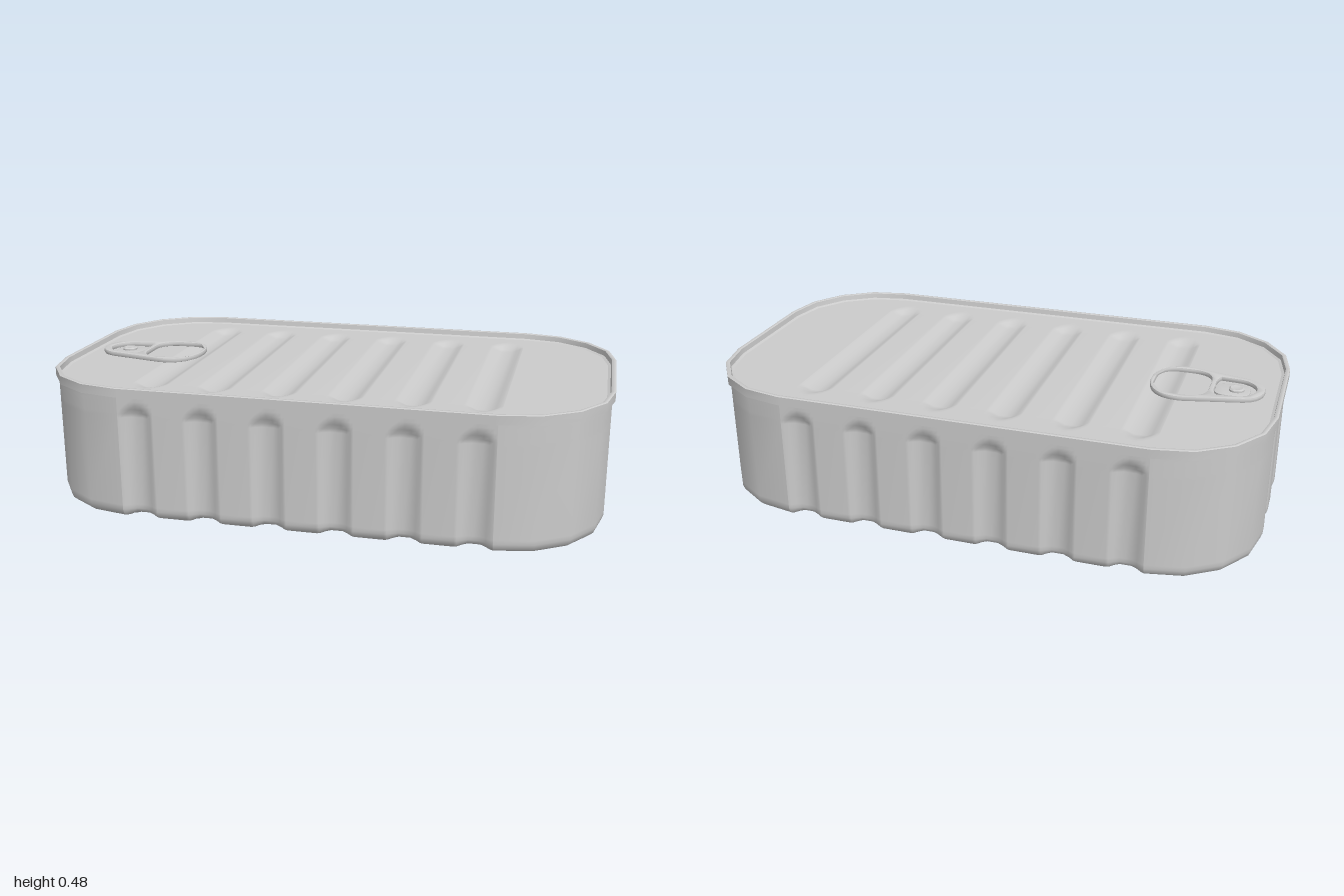
import * as THREE from 'three';
import { toCreasedNormals } from 'three/addons/utils/BufferGeometryUtils.js';

const CX = 0.645, CZ = 0.215, R = 0.355;            // corner centres and radius
const RIBS_X = [-0.58, -0.348, -0.116, 0.116, 0.348, 0.58];
const RIBS_Z = [-0.11, 0.11];
const OFFSETS = [-0.064, -0.054, -0.04, -0.02, 0, 0.02, 0.04, 0.054, 0.064];
const DEPTH = 0.02;

const material = () => new THREE.MeshStandardMaterial({ color: 0xcccccc, side: THREE.DoubleSide });
const smooth = (a, b, t) => THREE.MathUtils.smoothstep(t, a, b);
// 0 outside a rib, 1 on its floor; fade < 1 makes the rib narrower and shallower
const ribWeight = (t, ribs, fade = 1) => Math.max(...ribs.map((c) =>
  fade * (1 - smooth(0.02 * fade, 0.012 + 0.052 * fade, Math.abs(t - c)))));

// Sample stations along a straight side, dense at the ribs
const stations = (half, ribs) =>
  [-half, ...ribs.flatMap((c) => OFFSETS.map((o) => c + o)), half];

// Rounded-rectangle outline: base point, outward normal and position along its side
function outline() {
  const list = [];
  const corner = (sx, sz, start) => {
    for (let i = 1; i < 4; i++) {
      const a = start + (i * Math.PI) / 8;
      list.push({ x: sx * CX, z: sz * CZ, nx: Math.cos(a), nz: Math.sin(a) });
    }
  };
  const xs = stations(CX, RIBS_X), zs = stations(CZ, RIBS_Z);
  zs.forEach((z) => list.push({ x: CX, z, nx: 1, nz: 0, t: z, ribs: RIBS_Z }));
  corner(1, 1, 0);
  [...xs].reverse().forEach((x) => list.push({ x, z: CZ, nx: 0, nz: 1, t: x, ribs: RIBS_X }));
  corner(-1, 1, Math.PI / 2);
  [...zs].reverse().forEach((z) => list.push({ x: -CX, z, nx: -1, nz: 0, t: z, ribs: RIBS_Z }));
  corner(-1, -1, Math.PI);
  xs.forEach((x) => list.push({ x, z: -CZ, nx: 0, nz: -1, t: x, ribs: RIBS_X }));
  corner(1, -1, Math.PI * 1.5);
  return list;
}

// Loft rings [inset, y, rib strength, lift at ribs] around the outline
function loft(rings, capped) {
  const base = outline(), n = base.length, pos = [], index = [];
  rings.forEach(([inset, y, rib = 0, lift = 0]) => base.forEach((p) => {
    const w = p.ribs && rib > 0 ? ribWeight(p.t, p.ribs, rib) : 0;
    const r = R - inset - DEPTH * w;
    pos.push(p.x + p.nx * r, y + lift * w, p.z + p.nz * r);
  }));
  for (let k = 0; k < rings.length - 1; k++) {
    for (let i = 0; i < n; i++) {
      const a = k * n + i, b = k * n + ((i + 1) % n);
      index.push(a, a + n, b, b, a + n, b + n);
    }
  }
  if (capped) {
    const c = pos.length / 3;
    pos.push(0, rings[0][1], 0);
    for (let i = 0; i < n; i++) index.push(c, i, (i + 1) % n);
  }
  const g = new THREE.BufferGeometry();
  g.setAttribute('position', new THREE.Float32BufferAttribute(pos, 3));
  g.setIndex(index);
  g.computeVertexNormals();
  return g;
}

// Sunken lid plate with six pressed grooves
function lidPanel(inset, y) {
  const r = R - inset;
  const arc = [0, 1, 2, 3].map((i) => CX + r * Math.cos((i * Math.PI) / 8));
  const xs = [...arc.map((x) => -x), ...stations(CX, RIBS_X), ...[...arc].reverse()];
  const halfDepth = (x) => {
    const ax = Math.abs(x);
    return ax <= CX ? CZ + r : CZ + Math.sqrt(Math.max(0, r * r - (ax - CX) ** 2));
  };
  const ends = [1, 0.92, 0.88, 0.85, 0.81, 0.77, 0.73];
  const vs = [...ends.map((v) => -v), 0, ...[...ends].reverse()];
  const pos = [], index = [];
  xs.forEach((x) => vs.forEach((v) => {
    const z = v * halfDepth(x);
    const fade = 1 - smooth(0.39, 0.48, Math.abs(z));
    const w = fade > 0 ? ribWeight(x, RIBS_X, fade) : 0;
    pos.push(x, y - 0.018 * w, z);
  }));
  const m = vs.length;
  for (let i = 0; i < xs.length - 1; i++) {
    for (let j = 0; j < m - 1; j++) {
      const a = i * m + j, b = a + m;
      index.push(a, a + 1, b, b, a + 1, b + 1);
    }
  }
  const g = new THREE.BufferGeometry();
  g.setAttribute('position', new THREE.Float32BufferAttribute(pos, 3));
  g.setIndex(index);
  g.computeVertexNormals();
  return g;
}

// Flat pressed piece lying in the lid plane
function plate(shape, height, bevel) {
  const g = new THREE.ExtrudeGeometry(shape, {
    depth: height - 2 * bevel, bevelEnabled: true, bevelThickness: bevel, bevelSize: bevel,
    bevelOffset: -bevel, bevelSegments: 2, curveSegments: 10,
  });
  g.translate(0, 0, bevel).rotateX(-Math.PI / 2);
  return toCreasedNormals(g, 0.6);
}

function roundedRect(path, x0, x1, h, r) {
  path.moveTo(x0 + r, -h).lineTo(x1 - r, -h).quadraticCurveTo(x1, -h, x1, -h + r)
    .lineTo(x1, h - r).quadraticCurveTo(x1, h, x1 - r, h)
    .lineTo(x0 + r, h).quadraticCurveTo(x0, h, x0, h - r)
    .lineTo(x0, -h + r).quadraticCurveTo(x0, -h, x0 + r, -h);
  return path;
}

function pullTab(y) {
  const tab = new THREE.Group();
  tab.name = 'pullTab';
  const add = (name, geo, dy) => {
    const m = new THREE.Mesh(geo, material());
    m.name = name;
    m.position.y = y + dy;
    tab.add(m);
    return m;
  };
  // Ring plate with finger hole and nose opening
  const ring = new THREE.Shape();
  ring.moveTo(-0.87, -0.09).lineTo(-0.67, -0.137)
    .bezierCurveTo(-0.585, -0.15, -0.535, -0.09, -0.535, 0)
    .bezierCurveTo(-0.535, 0.09, -0.585, 0.15, -0.67, 0.137)
    .lineTo(-0.87, 0.09)
    .bezierCurveTo(-0.957, 0.065, -0.957, -0.065, -0.87, -0.09);
  ring.holes.push(roundedRect(new THREE.Path(), -0.745, -0.55, 0.115, 0.08));
  const nose = new THREE.Path();
  nose.moveTo(-0.85, -0.073).lineTo(-0.775, -0.08)
    .quadraticCurveTo(-0.757, -0.04, -0.765, 0).quadraticCurveTo(-0.757, 0.04, -0.775, 0.08)
    .lineTo(-0.85, 0.073).bezierCurveTo(-0.925, 0.05, -0.925, -0.05, -0.85, -0.073);
  ring.holes.push(nose);
  add('tabRing', plate(ring, 0.018, 0.005), 0.002);
  // Tongue held by the rivet
  add('tabTongue', plate(roundedRect(new THREE.Shape(), -0.885, -0.76, 0.052, 0.045), 0.008, 0.002), 0.001);
  const rivet = new THREE.LatheGeometry(
    [[0.027, 0], [0.027, 0.007], [0.021, 0.011], [0.014, 0.009], [0, 0.009]]
      .map(([a, b]) => new THREE.Vector2(a, b)), 20);
  add('rivet', toCreasedNormals(rivet, 0.5), 0.008).position.x = -0.837;
  return tab;
}

export function createModel() {
  const group = new THREE.Group();
  group.name = 'foodTin';
  const add = (name, geo) => {
    const m = new THREE.Mesh(geo, material());
    m.name = name;
    group.add(m);
  };
  // Fluted wall running into the stepped base
  add('body', loft([
    [0.325, 0.014], [0.31, 0.014], [0.295, 0.009], [0.28, 0.008], [0.215, 0.008],
    [0.2, 0.006], [0.175, 0.016], [0.145, 0.016], [0.12, 0.004], [0.1, 0],
    [0.07, 0, 0.6, 0.006], [0.045, 0.001, 1, 0.01], [0.028, 0.007, 1, 0.008],
    [0.016, 0.018, 1, 0.004], [0.01, 0.035, 1], [0.01, 0.05, 1], [0.01, 0.37, 1],
    [0.01, 0.385, 0.85], [0.01, 0.4, 0.55], [0.01, 0.415, 0.22], [0.01, 0.43], [0.01, 0.45],
  ], true));
  // Folded seam around the top
  add('rim', toCreasedNormals(loft([
    [0.012, 0.445], [0, 0.445], [0, 0.476], [0.003, 0.478], [0.012, 0.478],
    [0.015, 0.476], [0.018, 0.458], [0.028, 0.454],
  ]), 0.6));
  add('lid', lidPanel(0.027, 0.454));
  group.add(pullTab(0.454));
  return group;
}
